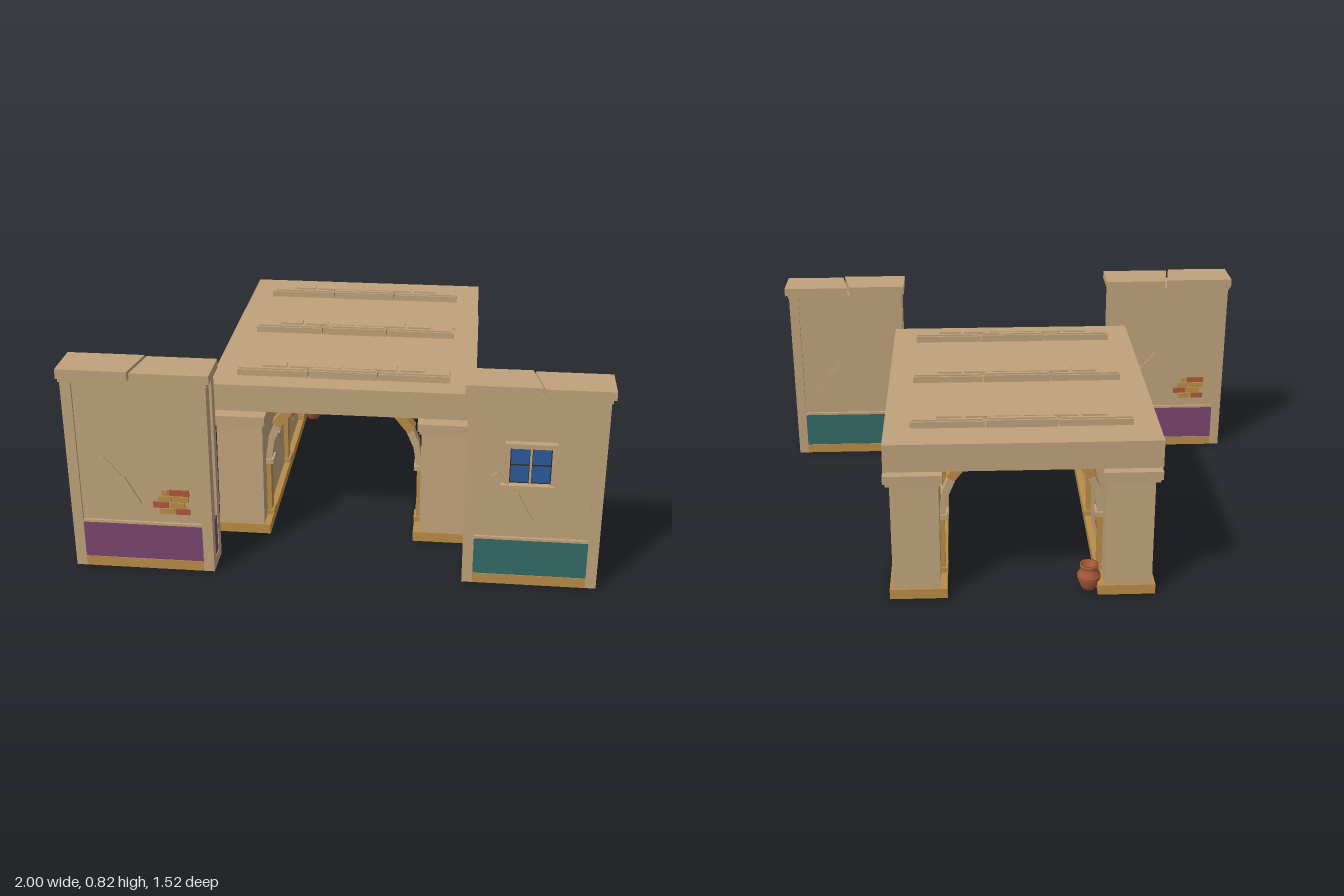
import * as THREE from 'three';

const mat = (name, color) => {
  const m = new THREE.MeshStandardMaterial({ color });
  m.name = name;
  return m;
};
const plaster = mat('tan plaster', 0xbfa27a);
const ochre = mat('ochre stone', 0xb88c48);
const purple = mat('purple paint', 0x7a4470);
const teal = mat('teal paint', 0x336a66);
const blue = mat('blue glass', 0x2c5a98);
const red = mat('red brick', 0xad573c);
const clay = mat('terracotta', 0xa4593a);
const dark = mat('dark glazing bar', 0x2c2a28);

function add(parent, name, geo, material) {
  const m = new THREE.Mesh(geo, material);
  m.name = name;
  parent.add(m);
  return m;
}

// box given by its limits on each axis
function box(parent, name, material, x0, x1, y0, y1, z0, z1) {
  const m = add(parent, name, new THREE.BoxGeometry(Math.abs(x1 - x0), y1 - y0, Math.abs(z1 - z0)), material);
  m.position.set((x0 + x1) / 2, (y0 + y1) / 2, (z0 + z1) / 2);
  return m;
}

// horizontal slab from a plan outline of [x, z] points
function slab(parent, name, material, points, y0, y1) {
  const shape = new THREE.Shape(points.map(([x, z]) => new THREE.Vector2(x, -z)));
  const geo = new THREE.ExtrudeGeometry(shape, { depth: y1 - y0, bevelEnabled: false });
  geo.rotateX(-Math.PI / 2);
  return add(parent, name, geo, material).position.set(0, y0, 0);
}

// bar between two points of the local xy plane
function bar(parent, name, material, a, b, width, depth, z = 0) {
  const dx = b[0] - a[0], dy = b[1] - a[1];
  const m = add(parent, name, new THREE.BoxGeometry(Math.hypot(dx, dy), width, depth), material);
  m.position.set((a[0] + b[0]) / 2, (a[1] + b[1]) / 2, z);
  m.rotation.z = Math.atan2(dy, dx);
}

// group lying on a wall: local x runs right, z points out of the wall
function onWall(parent, name, x, y, z, turn) {
  const g = new THREE.Group();
  g.name = name;
  g.position.set(x, y, z);
  g.rotation.y = turn;
  parent.add(g);
  return g;
}

function crack(parent, x, y, z, turn, s, steep) {
  const g = onWall(parent, 'plasterCrack', x, y, z, turn);
  const pts = steep ? [[-0.075, 0.09], [0, 0], [-0.005, 0.012], [0.055, -0.1]]
    : [[-0.11, 0.075], [0, 0], [-0.005, -0.005], [0.075, -0.075]];
  const p = pts.map(([u, v]) => [u * s, v]);
  bar(g, 'crackUpper', plaster, p[0], p[1], 0.032, 0.009);
  bar(g, 'crackLower', plaster, p[2], p[3], 0.036, 0.012);
}

function bricks(parent, x, y, z, turn) {
  const g = onWall(parent, 'exposedBricks', x, y, z, turn);
  const rows = [
    [[-0.035, -0.012, ochre], [-0.008, 0.068, red]],
    [[-0.05, 0.0, ochre], [0.005, 0.066, ochre]],
    [[-0.07, -0.012, red], [-0.006, 0.05, ochre]],
    [[-0.045, 0.008, ochre], [0.014, 0.068, red]],
  ];
  rows.forEach((row, i) => row.forEach(([a, b, m]) =>
    box(g, 'brick', m, a, b, 0.027 - i * 0.026, 0.05 - i * 0.026, -0.005, 0.006)));
}

// cap of two stones with a slanted joint running from (xa, z0) to (xb, z1)
function cap(parent, x0, x1, z0, z1, xa, xb, y0, y1) {
  const g = 0.004;
  slab(parent, 'capStone', plaster, [[x0, z0], [x0, z1], [xb - g, z1], [xa - g, z0]], y0, y1);
  slab(parent, 'capStone', plaster, [[xa + g, z0], [xb + g, z1], [x1, z1], [x1, z0]], y0, y1 - 0.004);
}

function tower(root, name, x0, x1, z0, z1, top, paint) {
  const g = new THREE.Group();
  g.name = name;
  root.add(g);
  const w = 0.04, r = 0.01;
  box(g, 'towerCore', plaster, x0 + r, x1 - r, 0.002, top, z0 + r, z1 - r);
  for (const x of [x0, x1 - w]) for (const z of [z0, z1 - w])
    box(g, 'cornerPost', plaster, x, x + w, 0, top, z, z + w);
  // painted dado, base board and rails on both wide faces
  for (const [z, d] of [[z0, 1], [z1, -1]]) {
    const a = z + d * 0.003, b = z + d * 0.012;
    box(g, 'paintedPanel', paint, x0 + w, x1 - w, 0.04, 0.19, a, b);
    box(g, 'baseBoard', ochre, x0 + w, x1 - w, 0, 0.04, z, b);
    box(g, 'dadoRail', plaster, x0 + w, x1 - w, 0.19, 0.2, z, b);
    box(g, 'topRail', plaster, x0 + w, x1 - w, top - 0.012, top, z, b);
  }
  for (const [x, d] of [[x0, 1], [x1, -1]]) {
    box(g, 'sidePaint', paint, x + d * 0.003, x + d * 0.012, 0.04, 0.19, z0 + w, z1 - w);
    box(g, 'sideBase', plaster, x, x + d * 0.012, 0, 0.04, z0 + w, z1 - w);
  }
  return g;
}

function windowFrame(parent, x, y, z) {
  const g = onWall(parent, 'window', x, y, z, 0);
  box(g, 'lintel', plaster, -0.093, 0.093, 0.072, 0.09, -0.01, 0.025);
  box(g, 'sill', plaster, -0.105, 0.09, -0.088, -0.075, -0.01, 0.03);
  for (const s of [-1, 1]) box(g, 'jamb', plaster, s * 0.075, s * 0.09, -0.075, 0.072, -0.01, 0.02);
  box(g, 'glazingBars', dark, -0.075, 0.075, -0.075, 0.072, 0, 0.004);
  for (const sx of [-1, 1]) for (const sy of [-1, 1])
    box(g, 'pane', blue, sx * 0.006, sx * 0.071, sy * 0.036 - 0.033, sy * 0.036 + 0.031, 0, 0.008);
  box(g, 'mullion', plaster, -0.004, 0.004, -0.075, 0.072, 0, 0.012);
}

export function createModel() {
  const root = new THREE.Group();
  root.name = 'marketGate';
  const Q = Math.PI / 2;

  // freestanding towers
  const tl = tower(root, 'rightTower', -0.99, -0.453, 0.605, 0.743, 0.78, purple);
  box(tl, 'capMoulding', plaster, -0.994, -0.448, 0.768, 0.783, 0.598, 0.749);
  cap(tl, -1, -0.438, 0.59, 0.755, -0.705, -0.732, 0.783, 0.82);
  crack(tl, -0.79, 0.37, 0.736, 0, 1, true);
  bricks(tl, -0.605, 0.29, 0.735, 0);
  crack(tl, -0.61, 0.37, 0.612, Math.PI, -1, true);
  bricks(tl, -0.835, 0.29, 0.613, Math.PI);

  const tr = tower(root, 'leftTower', 0.485, 0.985, 0.587, 0.72, 0.77, teal);
  box(tr, 'capMoulding', plaster, 0.481, 0.989, 0.76, 0.775, 0.581, 0.725);
  cap(tr, 0.473, 1, 0.572, 0.731, 0.718, 0.748, 0.775, 0.812);
  crack(tr, 0.665, 0.37, 0.713, 0, 1, true);
  crack(tr, 0.82, 0.37, 0.594, Math.PI, -1, true);
  windowFrame(tr, 0.717, 0.503, 0.711);

  // long side walls carrying the roof
  for (const s of [-1, 1]) {
    const g = new THREE.Group();
    g.name = s > 0 ? 'leftWall' : 'rightWall';
    root.add(g);
    box(g, 'wallBase', ochre, s * 0.285, s * 0.503, 0, 0.04, -0.73, 0.44);
    const body = box(g, 'wallBody', plaster, s * 0.31, s * 0.49, 0.04, 0.475, -0.722, 0.432);
    const p = body.geometry.attributes.position;
    for (let i = 0; i < p.count; i++) if (p.getY(i) > 0) p.setZ(i, p.getZ(i) * 0.98);
    body.geometry.computeVertexNormals();
    box(g, 'capMoulding', plaster, s * 0.302, s * 0.505, 0.472, 0.488, -0.73, 0.442);
    // broken coping stones
    for (const [a, b, c, d] of [[0.455, 0.455, 0, -0.03], [-0.04, -0.07, -0.25, -0.28], [-0.265, -0.295, -0.74, -0.74]]) {
      const o = [[s * 0.295, a], [s * 0.513, b], [s * 0.513, d], [s * 0.295, c]];
      slab(g, 'copingStone', plaster, o, 0.488, 0.52);
    }
    // weathering on the outer and inner faces
    for (const [x, out] of [[s * 0.49, s], [s * 0.31, -s]]) {
      crack(g, x, out > 0 ? 0.27 : 0.28, out > 0 ? 0.015 : -0.31, out * Q, out, false);
      bricks(g, x, 0.18, out > 0 ? -0.4 : 0.12, out * Q);
    }
  }

  // roof slab with three ridge beams and arched supports
  box(root, 'roof', plaster, -0.508, 0.508, 0.547, 0.655, -0.76, 0.458);
  for (const z of [-0.578, -0.138, 0.322]) {
    const f = new THREE.Group();
    f.name = 'archFrame';
    f.position.z = z;
    root.add(f);
    for (const [a, b, h, w] of [[-0.412, -0.136, 0.686, 0.041], [-0.132, 0.132, 0.69, 0.044], [0.136, 0.412, 0.686, 0.041]]) {
      box(f, 'ridgeBeam', plaster, a, b, 0.65, h - 0.006, -w, w);
      box(f, 'ridgeBeamTop', plaster, a + 0.006, b - 0.006, h - 0.006, h, -w + 0.007, w - 0.007);
    }
    for (let i = -3; i < 3; i++)
      box(f, 'ridgeInlay', plaster, i * 0.107 + 0.006, i * 0.107 + 0.1, 0.68, 0.693, -0.022, 0.022);
    for (const s of [-1, 1]) {
      const P = (x, y) => [s * x, y];
      box(f, 'archPost', ochre, s * 0.292, s * 0.318, 0.04, 0.27, -0.025, 0.025);
      box(f, 'postFoot', ochre, s * 0.283, s * 0.32, 0.04, 0.06, -0.032, 0.032);
      box(f, 'postBracket', plaster, s * 0.28, s * 0.32, 0.27, 0.29, -0.034, 0.034);
      bar(f, 'archLower', plaster, P(0.301, 0.285), P(0.285, 0.39), 0.024, 0.048);
      bar(f, 'archMiddle', plaster, P(0.288, 0.375), P(0.25, 0.465), 0.028, 0.05);
      bar(f, 'archStone', ochre, P(0.268, 0.44), P(0.212, 0.51), 0.036, 0.06);
      bar(f, 'archUpper', plaster, P(0.225, 0.495), P(0.16, 0.54), 0.026, 0.048);
      box(f, 'tieBeam', plaster, s * 0.17, s * 0.39, 0.52, 0.549, -0.025, 0.025);
      box(f, 'roofPost', plaster, s * 0.36, s * 0.39, 0.48, 0.549, -0.025, 0.025);
    }
  }

  // clay pot by the inner wall
  const profile = [[0, 0], [0.028, 0], [0.034, 0.015], [0.045, 0.045], [0.042, 0.065], [0.03, 0.08],
    [0.036, 0.092], [0.036, 0.102], [0.028, 0.102], [0.024, 0.08], [0, 0.07]];
  const pot = add(root, 'clayPot', new THREE.LatheGeometry(profile.map(([x, y]) => new THREE.Vector2(x, y)), 16), clay);
  pot.position.set(-0.255, 0, -0.67);
  const band = add(root, 'potBand', new THREE.TorusGeometry(0.043, 0.003, 6, 20), red);
  band.rotation.x = Q;
  band.position.set(-0.255, 0.055, -0.67);

  return root;
}
